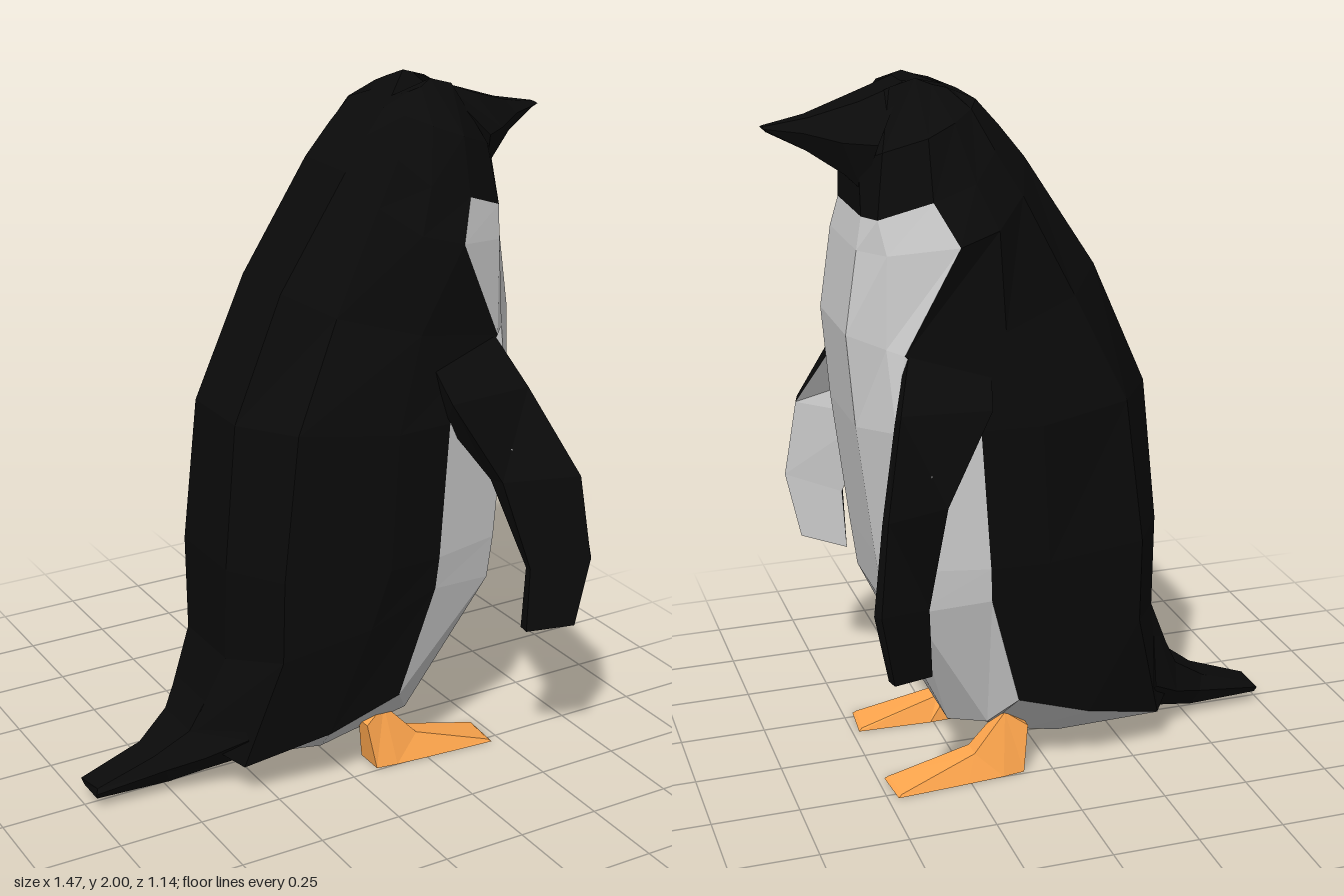
import * as THREE from 'three';

const material = (color) => new THREE.MeshStandardMaterial({ color, flatShading: true, side: THREE.DoubleSide });
const BLACK = material(0x0a0a0a), PALE = material(0xcccccc), ORANGE = material(0xffa64d);

const flipZ = (rings) => rings.map((r) => r.map(([x, y, z]) => [x, y, -z]));
// A half ring on the +z side, completed by its reflection
const fullRing = (half) => [...half, ...half.map(([x, y, z]) => [x, y, -z]).reverse()];

// Skins a stack of rings, caps both ends and sorts the faces by material
function loft(name, rings, pick) {
  const tris = [];
  const n = rings[0].length, last = rings.length - 1;
  for (let i = 0; i < last; i++) {
    for (let j = 0; j < n; j++) {
      const k = (j + 1) % n, mat = pick(i, j);
      const a = rings[i][j], b = rings[i][k], c = rings[i + 1][k], d = rings[i + 1][j];
      tris.push([mat, a, b, c], [mat, a, c, d]);
    }
  }
  for (let j = 1; j < n - 1; j++) {
    tris.push([pick(0, -1), rings[0][0], rings[0][j + 1], rings[0][j]]);
    tris.push([pick(last, -1), rings[last][0], rings[last][j], rings[last][j + 1]]);
  }
  // Signed volume tells whether the faces point outward
  const v = (p) => new THREE.Vector3(...p);
  let volume = 0;
  for (const [, a, b, c] of tris) volume += v(a).dot(v(b).cross(v(c)));
  const group = new THREE.Group();
  group.name = name;
  for (const mat of new Set(tris.map((t) => t[0]))) {
    const pos = tris.filter((t) => t[0] === mat)
      .flatMap(([, a, b, c]) => (volume > 0 ? [a, b, c] : [a, c, b])).flat();
    const geo = new THREE.BufferGeometry();
    geo.setAttribute('position', new THREE.Float32BufferAttribute(pos, 3));
    geo.computeVertexNormals();
    const mesh = new THREE.Mesh(geo, mat);
    mesh.name = name + (mat === PALE ? 'Pale' : mat === ORANGE ? 'Orange' : 'Dark');
    group.add(mesh);
  }
  return group;
}

// Half rings run from the back, round the side, over the colour seam, to the front
const belly = [
  [[-.33, .1, .1], [-.28, .09, .12], [-.05, .065, .14], [.05, .085, .14], [.15, .11, .12], [.22, .125, .08]],
];
const torso = [
  [[-.45, .18, .08], [-.34, .11, .21], [-.1, .185, .28], [.12, .265, .3], [.19, .17, .22], [.28, .145, .12]],
  [[-.35, .42, .12], [-.25, .45, .28], [0, .52, .34], [.21, .6, .34], [.42, .57, .29], [.47, .55, .15]],
  [[-.35, .7, .13], [-.25, .7, .29], [.05, .7, .36], [.215, .7, .35], [.43, .7, .3], [.49, .7, .15]],
  [[-.31, 1.12, .12], [-.2, 1.12, .28], [.07, 1.1, .36], [.24, 1.1, .35], [.46, 1.1, .3], [.535, 1.08, .15]],
  [[-.16, 1.47, .11], [-.06, 1.42, .24], [.16, 1.36, .32], [.43, 1.31, .29], [.47, 1.32, .25], [.555, 1.34, .15]],
  [[.04, 1.78, .11], [.08, 1.7, .22], [.17, 1.63, .3], [.285, 1.6, .33], [.46, 1.57, .24], [.52, 1.57, .15]],
];
const head = [
  [[.11, 1.87, .1], [.15, 1.82, .2], [.22, 1.75, .26], [.34, 1.71, .27], [.475, 1.66, .21], [.5, 1.655, .13]],
  [[.17, 1.94, .09], [.2, 1.925, .15], [.26, 1.9, .2], [.34, 1.87, .23], [.45, 1.83, .18], [.5, 1.8, .12]],
  [[.22, 1.96, .05], [.25, 1.975, .09], [.29, 1.985, .09], [.33, 2, .07], [.4, 1.98, .07], [.42, 1.965, .05]],
];

// Beak and tail sections: top, widest side, bottom
const beak = [
  [[.36, 1.99, .06], [.46, 1.85, .18], [.49, 1.72, .12]],
  [[.48, 1.945, .06], [.54, 1.85, .12], [.53, 1.76, .09]],
  [[.61, 1.905, .03], [.63, 1.87, .06], [.62, 1.82, .04]],
  [[.725, 1.885, .01], [.73, 1.88, .02], [.72, 1.87, .01]],
];
const tail = [
  [[-.725, .065, .04], [-.735, .055, .055], [-.73, .037, .045]],
  [[-.55, .125, .05], [-.53, .09, .085], [-.51, .037, .06]],
  [[-.45, .195, .08], [-.43, .13, .14], [-.41, .07, .1]],
  [[-.36, .38, .11], [-.33, .2, .22], [-.31, .1, .14]],
];

// Wing sections: inner back, inner front, outer front, outer back
const wing = [
  [[.22, 1.25, .27], [.42, 1.31, .26], [.42, 1.31, .29], [.2, 1.27, .31]],
  [[.24, 1.09, .33], [.48, 1.15, .36], [.47, 1.18, .39], [.22, 1.17, .39]],
  [[.36, .92, .38], [.56, .94, .52], [.55, .95, .545], [.36, .93, .44]],
  [[.44, .66, .455], [.595, .7, .55], [.58, .7, .57], [.43, .67, .49]],
  [[.43, .475, .455], [.555, .5, .53], [.545, .495, .555], [.425, .475, .49]],
];

// Foot sections: two sole corners, then two upper corners
const foot = [
  [[.085, 0, .15], [.085, 0, .24], [.065, .135, .215], [.065, .135, .165]],
  [[.15, 0, .145], [.15, 0, .25], [.13, .18, .2], [.13, .18, .165]],
  [[.26, 0, .14], [.26, 0, .26], [.23, .075, .225], [.23, .075, .165]],
  [[.48, 0, .15], [.47, 0, .275], [.46, .008, .27], [.47, .008, .155]],
];

export function createModel() {
  const model = new THREE.Group();
  model.name = 'penguin';

  // Body with a pale underside and front panel
  model.add(loft('body', [...belly, ...torso, ...head].map(fullRing),
    (i, j) => (i === 0 || (i < 7 && j >= 3 && j <= 7) ? PALE : BLACK)));
  model.add(loft('beak', beak.map(fullRing), () => BLACK));
  model.add(loft('tail', tail.map(fullRing), () => BLACK));

  // Paired wings (pale on the inside) and feet
  for (const [side, place] of [['left', flipZ], ['right', (rings) => rings]]) {
    model.add(loft(side + 'Wing', place(wing), (i, j) => (j === 0 && i > 0 ? PALE : BLACK)));
    model.add(loft(side + 'Foot', place(foot), () => ORANGE));
  }
  return model;
}
